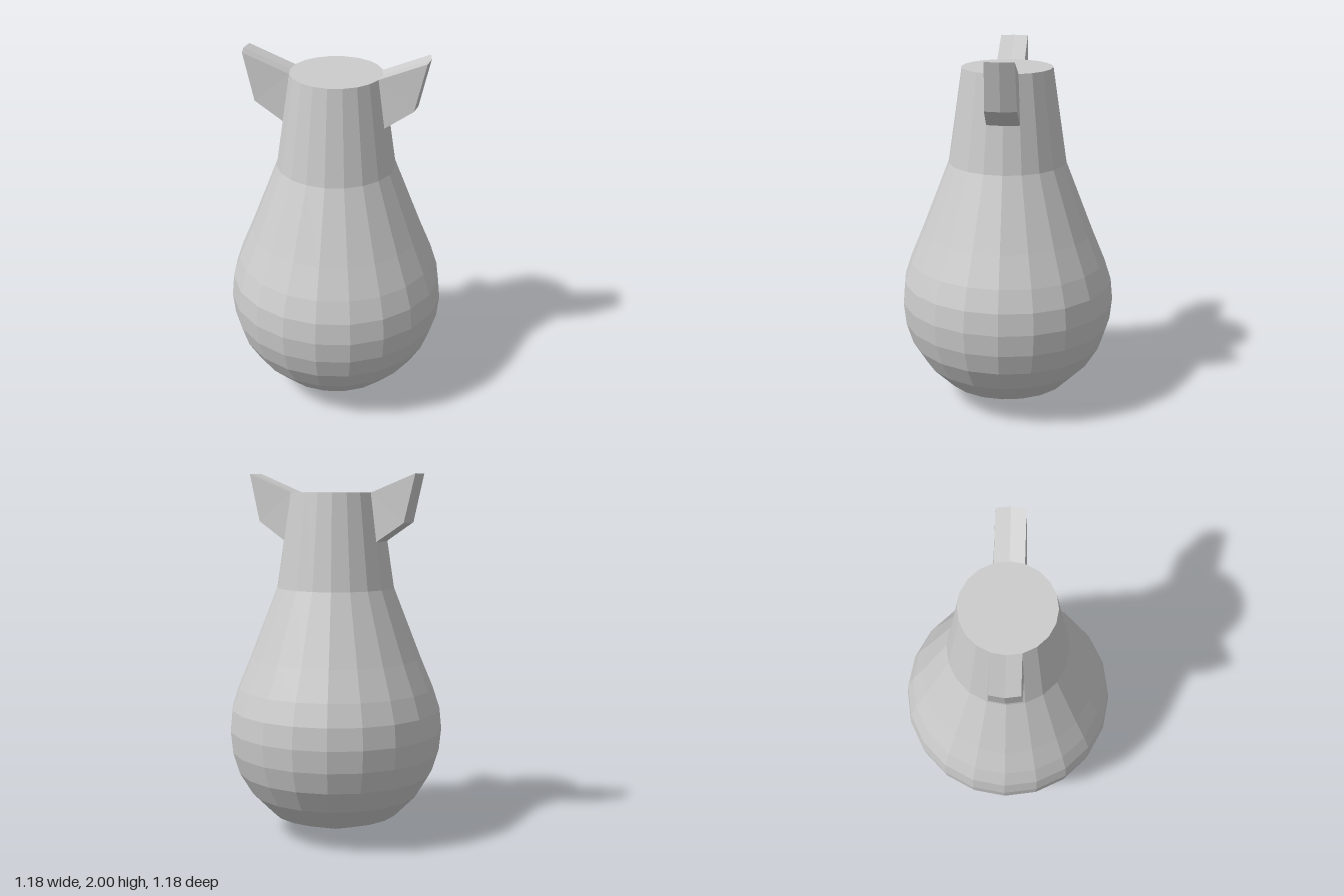
import * as THREE from 'three';

const material = new THREE.MeshStandardMaterial({ color: 0xcccccc, flatShading: true });

// Fin lofted across its thickness: side, slightly bulged middle, side
function finGeometry() {
  // Profile rows: root top, tip top, tip bottom, root bottom -> [x mid, x side, y, half width]
  const profile = [
    [0.245, 0.233, 1.9, 0.076],
    [0.492, 0.48, 2.0, 0.076],
    [0.433, 0.42, 1.742, 0.083],
    [0.284, 0.27, 1.64, 0.088],
  ];
  const positions = [], index = [];
  for (const s of [-1, 0, 1]) {
    for (const [mid, side, y, w] of profile) positions.push(s ? side : mid, y, s * w);
  }
  for (let k = 0; k < 2; k++) {
    for (let i = 0; i < 3; i++) {
      const a = k * 4 + i, b = a + 1;
      index.push(a, a + 4, b, b, a + 4, b + 4);
    }
  }
  // Flat sides
  index.push(0, 1, 2, 0, 2, 3, 8, 10, 9, 8, 11, 10);
  const geometry = new THREE.BufferGeometry();
  geometry.setAttribute('position', new THREE.Float32BufferAttribute(positions, 3));
  geometry.setIndex(index);
  const flat = geometry.toNonIndexed();
  flat.computeVertexNormals();
  return flat;
}

export function createModel() {
  const group = new THREE.Group();

  // Faceted bulb with a tapering neck and a flat top
  const profile = [
    [0, 0], [0.354, 0.12], [0.472, 0.24], [0.544, 0.36], [0.58, 0.477], [0.592, 0.597],
    [0.58, 0.716], [0.541, 0.835], [0.472, 1.0], [0.322, 1.385], [0.245, 1.9], [0, 1.9],
  ].map(([r, y]) => new THREE.Vector2(r, y));
  const body = new THREE.Mesh(new THREE.LatheGeometry(profile, 20), material);
  body.name = 'body';
  group.add(body);

  // Flared fins on either side of the neck
  const geometry = finGeometry();
  for (const [name, turn] of [['leftFin', 0], ['rightFin', Math.PI]]) {
    const fin = new THREE.Mesh(geometry, material);
    fin.name = name;
    fin.rotation.y = turn;
    group.add(fin);
  }
  return group;
}
